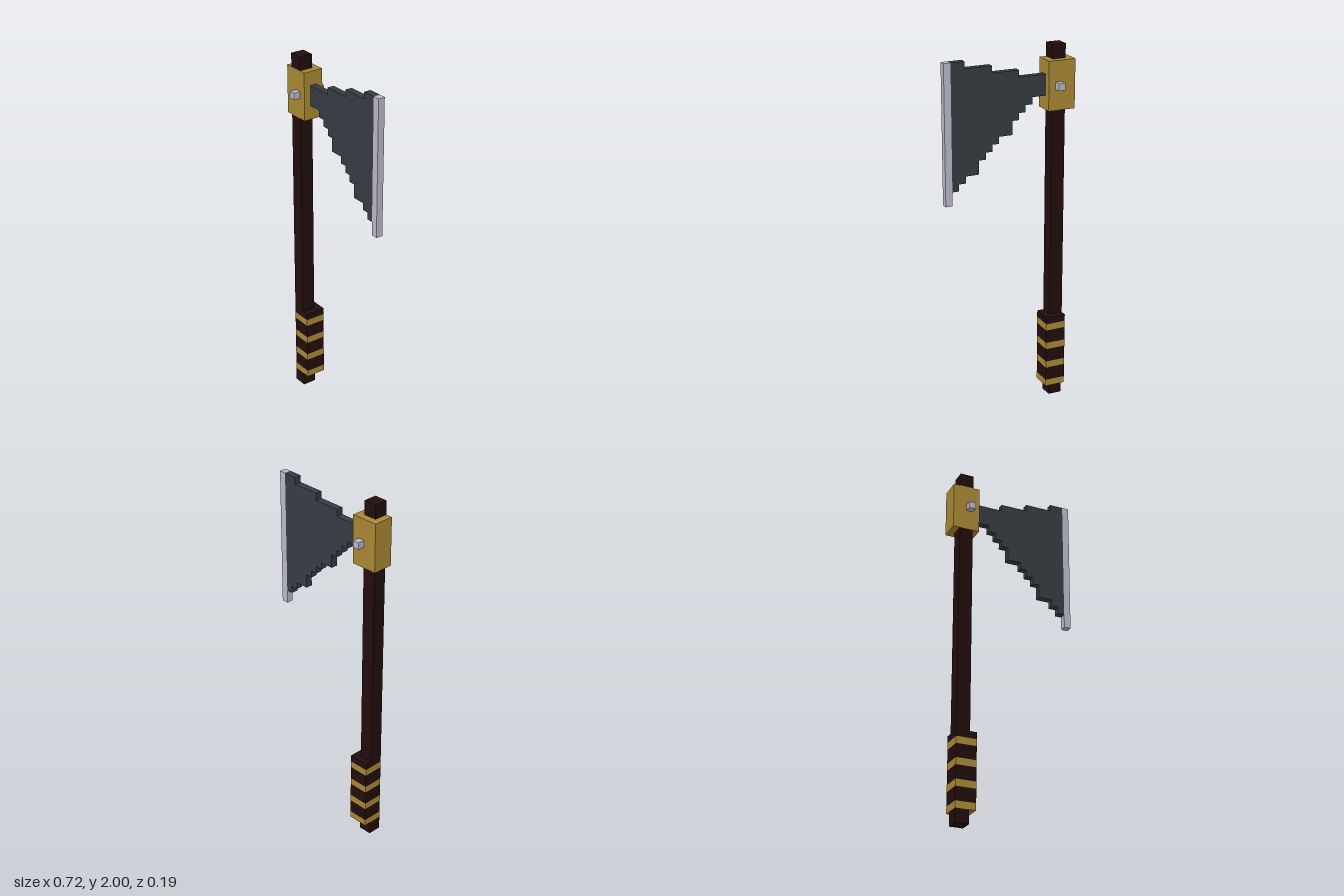
import * as THREE from 'three';

const U = 2 / 53;                 // one block of the grid; the axe is 19 x 53 x 5 blocks
const X0 = -9.5, Z0 = -2.5;       // centring offsets in blocks

const material = (name, color) => {
  const m = new THREE.MeshStandardMaterial({ color });
  m.name = name;
  return m;
};

export function createModel() {
  const wood = material('darkWood', 0x220d0d);
  const gold = material('gold', 0xa88734);
  const iron = material('darkIron', 0x353c42);
  const steel = material('paleSteel', 0xbab6c9);

  const axe = new THREE.Group();
  axe.name = 'axe';

  // Box between two block corners
  const block = (name, mat, [x1, y1, z1], [x2, y2, z2]) => {
    const mesh = new THREE.Mesh(
      new THREE.BoxGeometry((x2 - x1) * U, (y2 - y1) * U, (z2 - z1) * U), mat);
    mesh.position.set(((x1 + x2) / 2 + X0) * U, ((y1 + y2) / 2) * U, ((z1 + z2) / 2 + Z0) * U);
    mesh.name = name;
    axe.add(mesh);
  };

  // Shaft: butt, main length and tip, interrupted by the grip and the collar
  block('shaftButt', wood, [1, 0, 2], [3, 2, 4]);
  block('shaft', wood, [1, 13, 2], [3, 44, 4]);
  block('shaftTip', wood, [1, 51, 2], [3, 53, 4]);

  // Grip: gold bands alternating with wood
  for (let y = 2; y < 13; y += 3) {
    block('gripBand', gold, [1, y, 1], [4, y + 1, 4]);
    block('gripWood', wood, [1, y + 1, 1], [4, Math.min(y + 3, 13), 4]);
  }

  // Collar with a pin on each side
  block('collar', gold, [0, 44, 1], [4, 51, 4]);
  block('frontPin', steel, [2, 47, 4], [3, 48, 5]);
  block('backPin', steel, [2, 47, 0], [3, 48, 1]);

  // Blade: stepped outline, each step is [end x, height]
  const topSteps = [[8, 49], [12, 50], [16, 51], [18, 52]];
  const bottomSteps = [[6, 46], [7, 45], [8, 44], [9, 43], [11, 41], [12, 40],
    [13, 39], [14, 38], [16, 36], [17, 35], [18, 34]];
  const stairs = (steps) => {
    let x = 4;
    return steps.flatMap(([end, y]) => {
      const run = [[x, y], [end, y]];
      x = end;
      return run;
    });
  };
  const outline = [...stairs(bottomSteps), ...stairs(topSteps).reverse()]
    .map(([x, y]) => new THREE.Vector2((x + X0) * U, y * U));
  const blade = new THREE.Mesh(
    new THREE.ExtrudeGeometry(new THREE.Shape(outline), { depth: U, bevelEnabled: false }), iron);
  blade.position.z = (2 + Z0) * U;
  blade.name = 'blade';
  axe.add(blade);

  // Cutting edge
  block('cuttingEdge', steel, [18, 32, 2], [19, 52, 3]);

  return axe;
}
